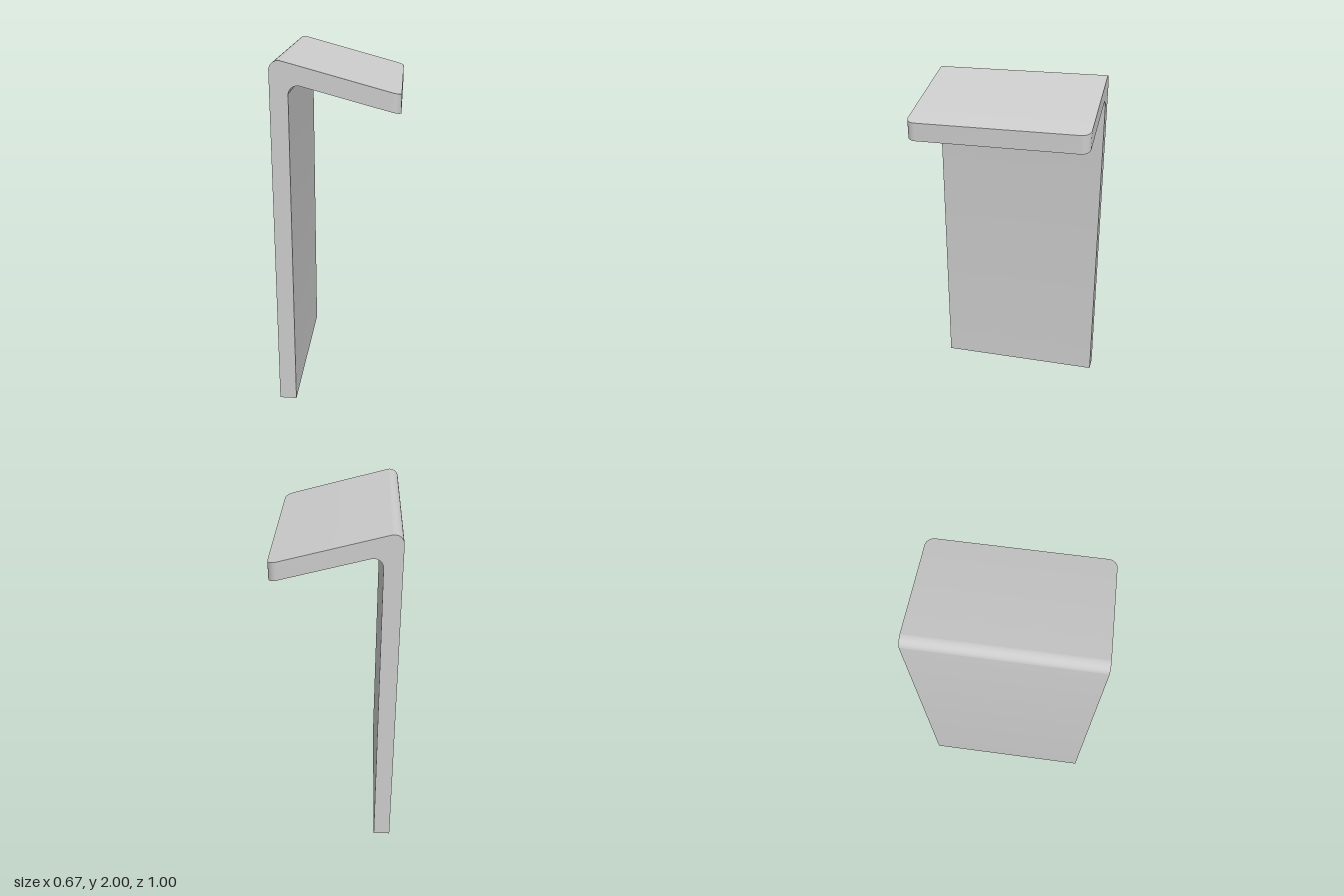
import * as THREE from 'three';
import { toCreasedNormals } from 'three/addons/utils/BufferGeometryUtils.js';

const HALF_X = 0.337, HALF_Z = 0.5, R = 0.05;
const WALL = 0.097;                       // plate thickness
const ANGLE = THREE.MathUtils.degToRad(15), SLOPE = Math.tan(ANGLE);
const STEPS_PER_CORNER = 12;

// Bent plate seen from the front: upright, rounded bend and sloping shelf
function plateProfile() {
  const outerX = -HALF_X + R, outerY = 2 - R;
  const innerX = -HALF_X + WALL + R;
  const tipTop = outerY + R / Math.cos(ANGLE) - SLOPE * (HALF_X - outerX);
  const tipBottom = tipTop - WALL / Math.cos(ANGLE);
  const innerY = tipBottom + SLOPE * (HALF_X - innerX) - R / Math.cos(ANGLE);
  const bendEnd = Math.PI / 2 - ANGLE;
  const s = new THREE.Shape();
  s.moveTo(-HALF_X, 0);
  s.lineTo(-HALF_X + WALL, 0);
  s.absarc(innerX, innerY, R, Math.PI, bendEnd, true);
  s.lineTo(HALF_X, tipBottom);
  s.lineTo(HALF_X, tipTop);
  s.absarc(outerX, outerY, R, bendEnd, Math.PI, false);
  s.closePath();
  return s;
}

export function createModel() {
  const group = new THREE.Group();
  group.name = 'bentPlateStand';

  const steps = 2 * STEPS_PER_CORNER + 1;
  const geometry = new THREE.ExtrudeGeometry(plateProfile(), {
    depth: steps, steps, bevelEnabled: false, curveSegments: 16,
  });

  // Space the layers around the two tip corners and pull the tip in along its slope
  const p = geometry.attributes.position;
  for (let i = 0; i < p.count; i++) {
    const layer = Math.round(p.getZ(i));
    const fromEnd = Math.min(layer, steps - layer);
    const a = (fromEnd / STEPS_PER_CORNER) * Math.PI / 2;
    const z = HALF_Z - R + R * Math.cos(a);
    p.setZ(i, layer < steps / 2 ? -z : z);
    if (p.getX(i) > HALF_X - 1e-4) {
      const inset = R * (1 - Math.sin(a));
      p.setX(i, HALF_X - inset);
      p.setY(i, p.getY(i) + inset * SLOPE);
    }
  }

  const plate = new THREE.Mesh(
    toCreasedNormals(geometry, Math.PI / 6),
    new THREE.MeshStandardMaterial({ color: 0xcccccc }),
  );
  plate.name = 'bentPlate';
  group.add(plate);
  return group;
}
